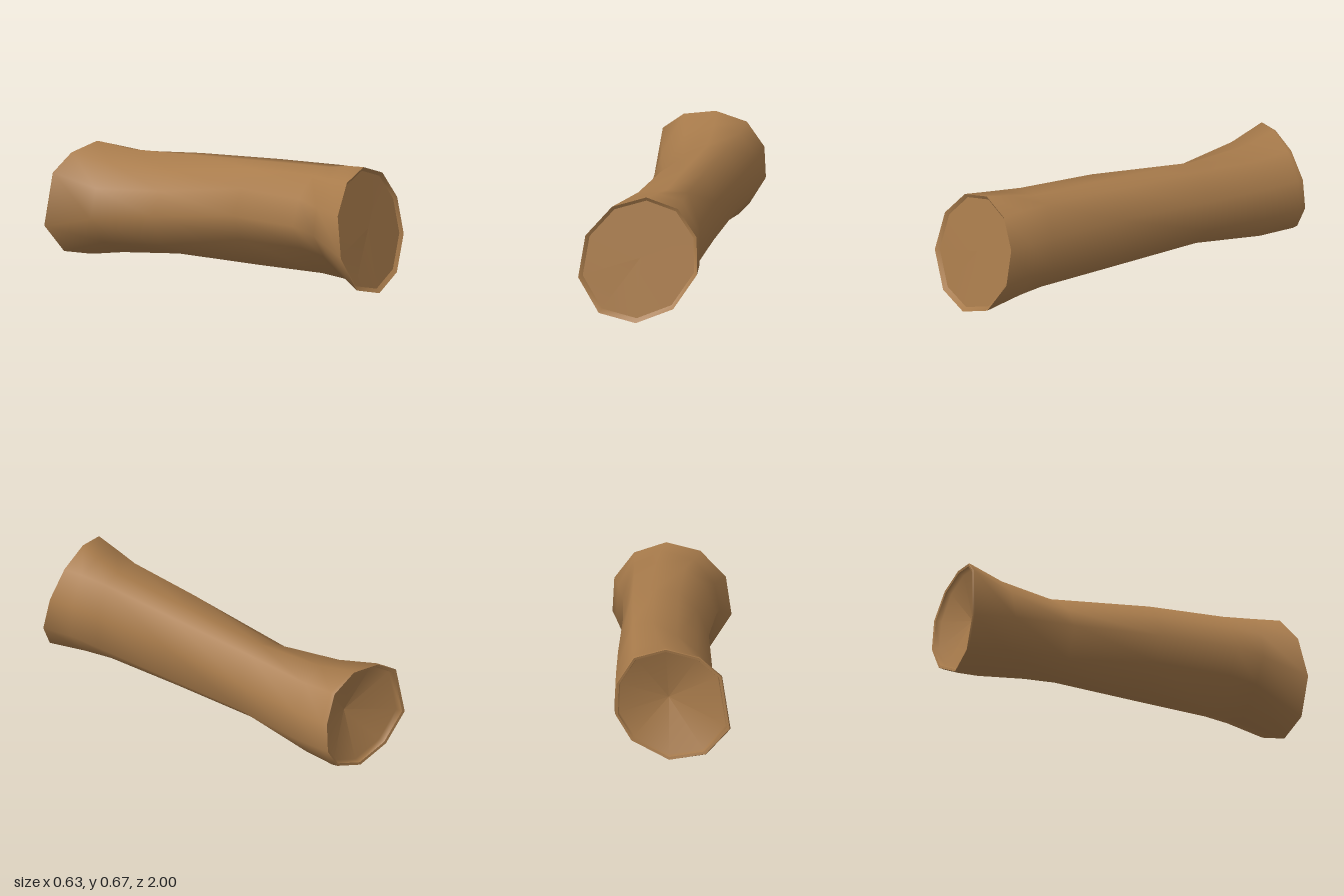
import * as THREE from 'three';

// Ten-sided cross-sections, counter-clockwise seen from the front, as x, y
const FRONT = [
  [0.315, 0.275], [0.305, 0.47], [0.2, 0.615], [0.03, 0.67], [-0.15, 0.615],
  [-0.285, 0.46], [-0.315, 0.24], [-0.2, 0.055], [0, 0.01], [0.195, 0.09],
];
const BACK = [
  [0.298, 0.25], [0.292, 0.42], [0.2, 0.56], [0.03, 0.608], [-0.15, 0.57],
  [-0.27, 0.475], [-0.315, 0.19], [-0.185, 0.04], [0.01, 0], [0.213, 0.108],
];

// Gnarled trunk between the two ends
const TRUNK = [
  { z: 0.75, outline: [
    [0.293, 0.28], [0.285, 0.465], [0.2, 0.625], [0.06, 0.658], [-0.114, 0.61],
    [-0.225, 0.475], [-0.253, 0.33], [-0.165, 0.205], [0.02, 0.057], [0.175, 0.12]] },
  { z: 0.6, outline: [
    [0.26, 0.25], [0.26, 0.45], [0.197, 0.625], [0.08, 0.632], [-0.07, 0.61],
    [-0.18, 0.5], [-0.238, 0.36], [-0.16, 0.23], [0.02, 0.07], [0.14, 0.115]] },
  { z: 0.18, outline: [
    [0.25, 0.24], [0.257, 0.45], [0.205, 0.608], [0.09, 0.613], [-0.04, 0.595],
    [-0.135, 0.5], [-0.197, 0.36], [-0.14, 0.225], [0.02, 0.066], [0.13, 0.115]] },
  { z: -0.35, outline: [
    [0.275, 0.26], [0.282, 0.43], [0.205, 0.58], [0.1, 0.588], [-0.03, 0.515],
    [-0.14, 0.425], [-0.22, 0.3], [-0.145, 0.135], [0.02, 0.066], [0.15, 0.135]] },
  { z: -0.72, outline: [
    [0.3, 0.25], [0.292, 0.42], [0.2, 0.55], [0.06, 0.582], [-0.1, 0.53],
    [-0.225, 0.41], [-0.27, 0.25], [-0.155, 0.11], [0.014, 0.032], [0.19, 0.1]] },
];

// Gives every corner of an outline its z
const ring = (outline, depth) => outline.map(([x, y]) => [x, y, depth(x, y)]);

// Shrinks a ring towards its middle and shifts it along z
function inset(points, scale, dz) {
  const mid = [0, 1, 2].map((k) => points.reduce((s, p) => s + p[k], 0) / points.length);
  return points.map((p) => p.map((v, k) => mid[k] + (v - mid[k]) * scale + (k === 2 ? dz : 0)));
}

// Smooth skin through a row of rings
function loft(rings) {
  const n = FRONT.length, index = [];
  for (let i = 0; i < rings.length - 1; i++) {
    for (let j = 0; j < n; j++) {
      const a = i * n + j, next = i * n + ((j + 1) % n);
      index.push(a, a + n, next, next, a + n, next + n);
    }
  }
  const geometry = new THREE.BufferGeometry();
  geometry.setAttribute('position', new THREE.Float32BufferAttribute(rings.flat(2), 3));
  geometry.setIndex(index);
  geometry.computeVertexNormals();
  return geometry;
}

export function createModel() {
  const group = new THREE.Group();
  group.name = 'hollowLog';
  const wood = new THREE.MeshStandardMaterial({ color: 0xa87b4b });
  wood.name = 'wood';

  const add = (name, rings) => {
    const mesh = new THREE.Mesh(loft(rings), wood);
    mesh.name = name;
    group.add(mesh);
  };

  // Slanted cut at the front, uneven broken edge with a small bevel at the back
  const front = ring(FRONT, (x, y) => Math.min(1, 0.935 - 0.09 * x - 0.19 * (y - 0.34)));
  const backShoulder = ring(BACK, (x, y) => -0.945 + 0.14 * x + 0.3 * (y - 0.25) ** 2);
  const backEdge = inset(
    ring(BACK, (x, y) => Math.max(-1, -0.968 + 0.1 * x + 0.4 * (y - 0.25) ** 2)), 0.985, 0);

  const sections = TRUNK.map(({ z, outline }) => ring(outline, () => z));
  add('trunk', [front, ...sections, backShoulder, backEdge]);

  // Front rim and the flat cut face set just inside it
  const frontInner = inset(front, 0.935, -0.015);
  add('frontRim', [frontInner, front]);
  add('frontCutFace', [inset(frontInner, 0, 0), frontInner]);

  // Back rim, its inner step and the shallow funnel-shaped hollow
  const backInner = inset(backEdge, 0.955, 0.004);
  const backStep = inset(backEdge, 0.93, 0.035);
  add('backRim', [backEdge, backInner]);
  add('backHollow', [backInner, backStep, inset(backEdge, 0, 0.11)]);

  return group;
}
